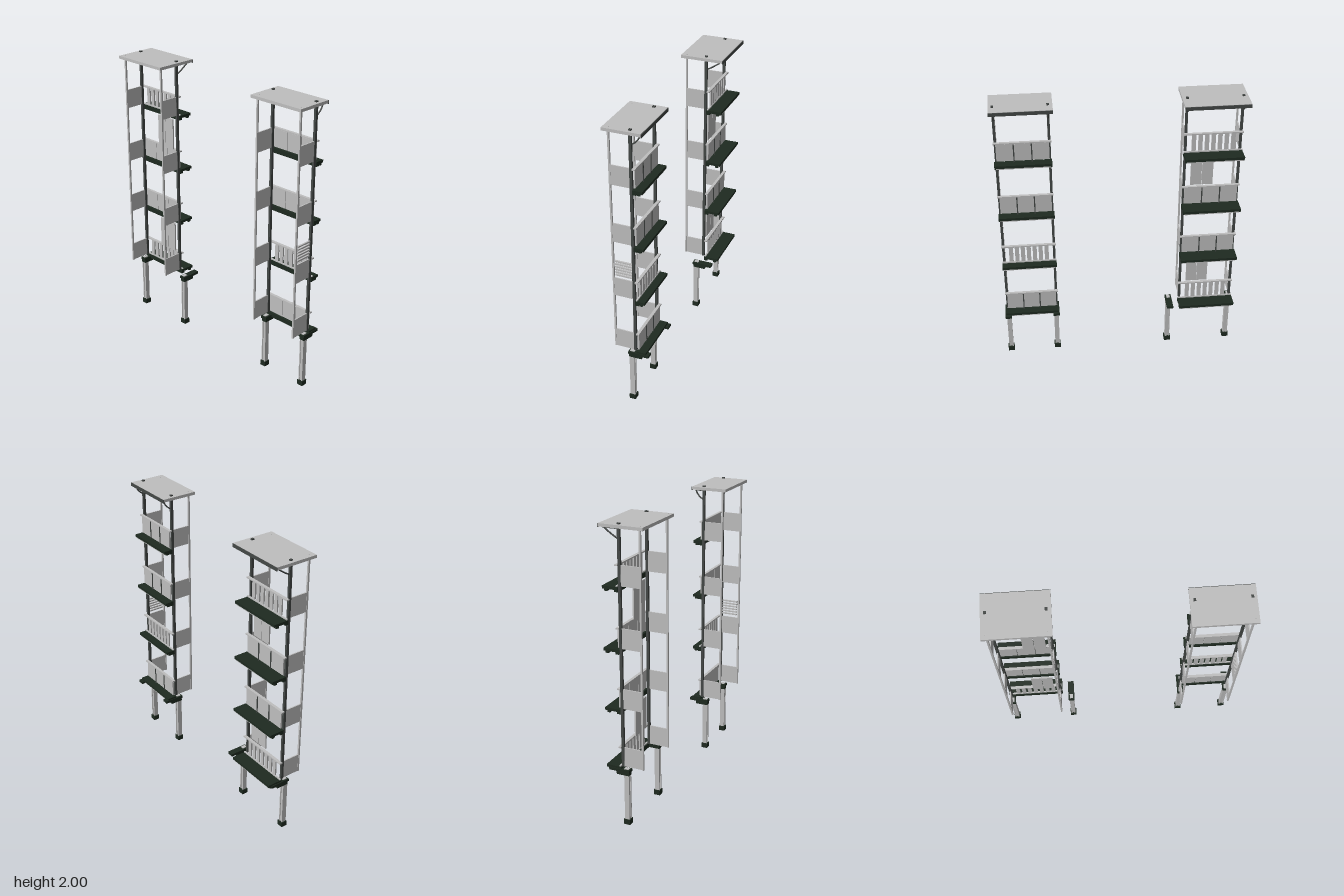
import * as THREE from 'three';

const mat = (name, color) => Object.assign(new THREE.MeshStandardMaterial({ color }), { name });

export function createModel() {
  const light = mat('light grey', 0xbfbfbf);
  const steel = mat('dark steel', 0x444846);
  const dark = mat('dark green', 0x1e2a20);
  const root = new THREE.Group();
  root.name = 'balconyTowers';

  // box given by its min and max on each axis
  const box = (parent, name, m, x0, x1, y0, y1, z0, z1) => {
    const b = new THREE.Mesh(new THREE.BoxGeometry(x1 - x0, y1 - y0, z1 - z0), m);
    b.position.set((x0 + x1) / 2, (y0 + y1) / 2, (z0 + z1) / 2);
    b.name = name;
    parent.add(b);
    return b;
  };

  // roof brace: thin curved bar from the rear post out to the roof edge
  const brace = (parent, x, reach) => {
    const curve = new THREE.QuadraticBezierCurve3(
      new THREE.Vector3(x, 1.905, -0.035),
      new THREE.Vector3(x, 1.925, -0.075),
      new THREE.Vector3(x, 1.972, reach));
    const b = new THREE.Mesh(new THREE.TubeGeometry(curve, 8, 0.005, 6), steel);
    b.name = 'roofBrace';
    parent.add(b);
    box(parent, 'braceArm', steel, x - 0.005, x + 0.005, 1.962, 1.972, reach, -0.03);
  };

  // support leg with foot, H-section column and bracket
  const leg = (parent, x) => {
    const g = new THREE.Group();
    g.name = 'leg';
    g.position.x = x;
    parent.add(g);
    box(g, 'foot', dark, -0.022, 0.022, 0, 0.035, -0.022, 0.022);
    for (const s of [-1, 1])
      box(g, 'flange', light, s * 0.012 - 0.004, s * 0.012 + 0.004, 0.03, 0.375, -0.017, 0.017);
    box(g, 'web', light, -0.009, 0.009, 0.03, 0.375, -0.012, 0.012);
    box(g, 'cap', dark, -0.018, 0.018, 0.352, 0.376, -0.07, 0.018);
    box(g, 'bracket', dark, -0.022, 0.022, 0.375, 0.393, -0.12, 0.023);
    box(g, 'bracketPlate', light, -0.012, 0.012, 0.393, 0.398, -0.018, 0.014);
  };

  const tower = (o) => {
    const g = new THREE.Group();
    g.name = o.name;
    root.add(g);
    const { a, b } = o; // post centres
    // posts
    for (const x of [a, b]) {
      box(g, 'frontPost', light, x - 0.006, x + 0.006, 0.41, 1.993, 0.108, 0.12);
      box(g, 'rearPost', steel, x - 0.008, x + 0.008, 0.41, 2, -0.035, -0.017);
      brace(g, x, o.roofBack + 0.015);
    }
    // roof
    box(g, 'roof', light, o.roofX[0], o.roofX[1], 1.972, 1.992, o.roofBack, 0.147);
    box(g, 'roofRearEdge', steel, o.roofX[0], o.roofX[1], 1.967, 1.99, o.roofBack - 0.004, o.roofBack);

    for (let i = 0; i < 4; i++) {
      const y = 0.4 * (i + 1);
      const x0 = a - 0.013, x1 = b + 0.013;
      // walkway deck on beams
      box(g, 'deck', dark, x0, x1, y - 0.012, y + 0.006, o.deckBack, -0.035);
      box(g, 'deckBeam', dark, x0, x1, y - 0.025, y - 0.012, -0.06, -0.035);
      box(g, 'deckBeam', dark, x0, x1, y - 0.025, y - 0.012, o.deckBack + 0.015, o.deckBack + 0.035);
      box(g, 'deckTrim', light, x0 + 0.01, x1 - 0.01, y - 0.022, y - 0.012, o.deckBack + 0.005, o.deckBack + 0.015);
      // rear rail
      box(g, 'rail', light, x0, x1, y + 0.138, y + 0.147, -0.055, -0.035);
      const slats = o.slatted.includes(i);
      if (slats) {
        const s0 = a + 0.038, step = (b - a - 0.076 - 0.028) / 6;
        for (let k = 0; k < 7; k++)
          box(g, 'slat', light, s0 + k * step, s0 + k * step + 0.028, y + 0.02, y + 0.138, -0.05, -0.04);
        box(g, 'lowerRail', light, x0, x1, y + 0.008, y + 0.016, -0.05, -0.04);
      } else {
        const w = (b - a) / 3;
        for (let k = 0; k < 3; k++)
          box(g, 'railPanel', light, a + k * w + 0.002, a + (k + 1) * w - 0.002, y + 0.015, y + 0.135, -0.05, -0.04);
        for (let k = 1; k < 3; k++)
          box(g, 'panelPost', steel, a + k * w - 0.004, a + k * w + 0.004, y, y + 0.138, -0.054, -0.05);
      }
      // side panels
      for (const x of [a, b])
        box(g, 'sidePanel', light, x - 0.004, x + 0.004, y + 0.012, y + 0.145, -0.02, 0.112);
    }
    for (const x of o.legs) leg(g, x);
    return g;
  };

  const right = tower({
    name: 'rightTower', a: -0.8, b: -0.436, roofX: [-0.83, -0.405], roofBack: -0.15,
    deckBack: -0.143, slatted: [0, 3], legs: [-0.797, -0.36],
  });
  const left = tower({
    name: 'leftTower', a: 0.45, b: 0.797, roofX: [0.42, 0.825], roofBack: -0.105,
    deckBack: -0.1, slatted: [2 - 1], legs: [0.454, 0.793],
  });

  // tall two-leaf screens hung below two of the decks
  for (const y of [0.55, 1.35])
    for (const x of [-0.63, -0.553])
      box(right, 'screen', light, x, x + 0.074, y, y + 0.222, -0.032, -0.022);

  // louvre blades on the outer side
  for (let k = 0; k < 6; k++)
    box(left, 'louvre', light, 0.791, 0.803, 0.965 + k * 0.02, 0.975 + k * 0.02, -0.018, 0.1);

  return root;
}
